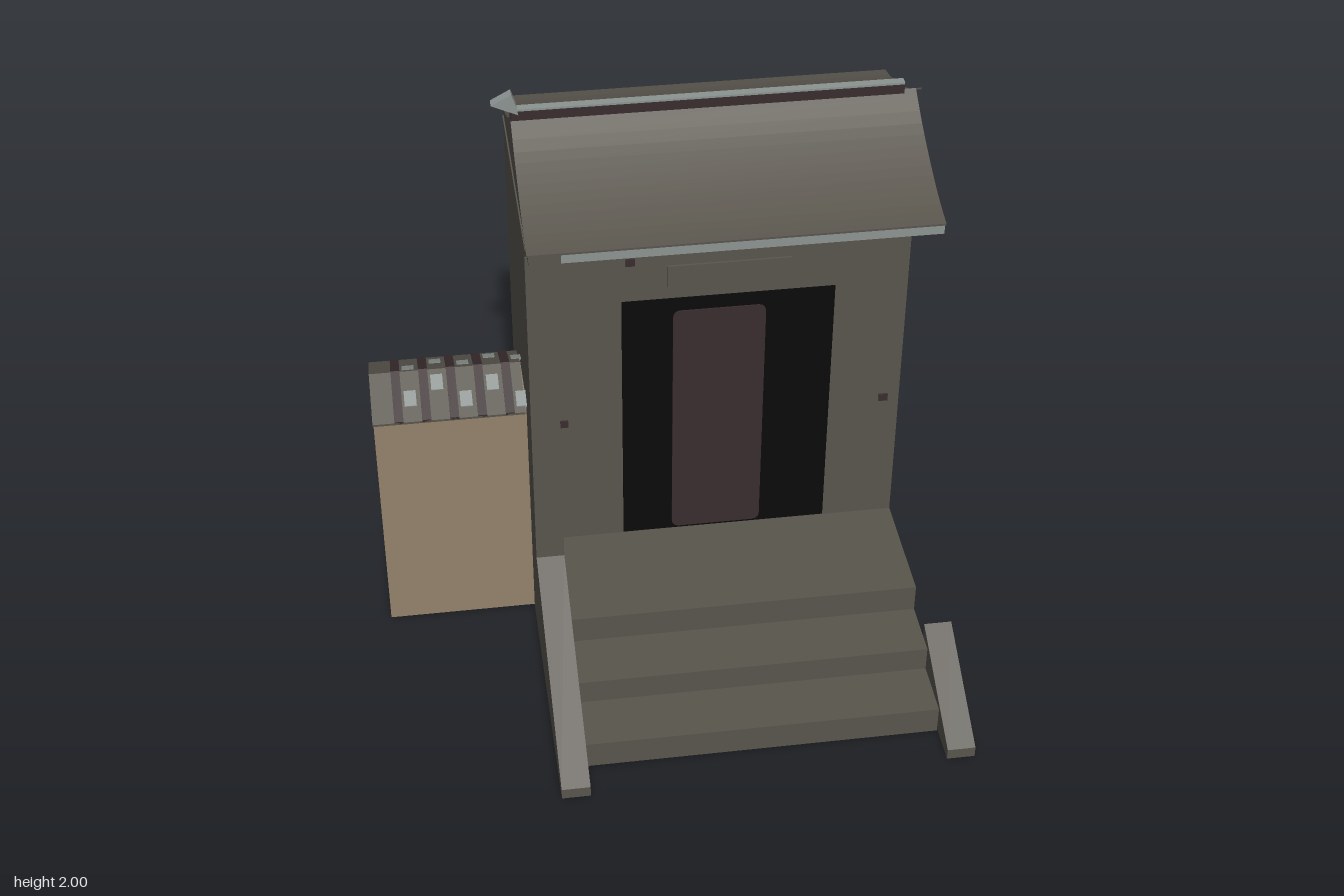
import * as THREE from 'three';

export function createModel() {
  const root = new THREE.Group();
  const mat = (name, color) => {
    const m = new THREE.MeshStandardMaterial({ color, side: THREE.DoubleSide });
    m.name = name;
    return m;
  };
  const stone = mat('stone', 0x59554d);
  const trim = mat('paleTrim', 0x8c9492);
  const plaster = mat('ochrePlaster', 0x93826a);
  const wood = mat('darkWood', 0x392d2e);
  const black = mat('black', 0x0a0a0a);

  const add = (name, geo, material) => {
    const m = new THREE.Mesh(geo, material);
    m.name = name;
    root.add(m);
    return m;
  };
  // box given by its limits
  const box = (name, material, x0, x1, y0, y1, z0, z1) => {
    const g = new THREE.BoxGeometry(x1 - x0, y1 - y0, z1 - z0);
    g.translate((x0 + x1) / 2, (y0 + y1) / 2, (z0 + z1) / 2);
    return add(name, g, material);
  };
  const poly = pts => new THREE.Shape(pts.map(p => new THREE.Vector2(p[0], p[1])));
  // (z, y) outline extruded from x0 to x1
  const alongX = (name, material, pts, x0, x1) => {
    const g = new THREE.ExtrudeGeometry(poly(pts), { depth: x1 - x0, bevelEnabled: false });
    g.rotateY(-Math.PI / 2).translate(x1, 0, 0);
    return add(name, g, material);
  };
  // (x, y) outline extruded from z0 to z1
  const alongZ = (name, material, shape, z0, z1) => {
    const g = new THREE.ExtrudeGeometry(shape, { depth: z1 - z0, bevelEnabled: false });
    g.translate(0, 0, z0);
    return add(name, g, material);
  };

  // gatehouse block with a doorway cut through it
  const wall = poly([[-0.34, 0], [0.845, 0], [0.845, 1.68], [-0.34, 1.68]]);
  wall.holes.push(poly([[-0.11, 0.295], [-0.11, 1.285], [0.6, 1.285], [0.6, 0.295]]));
  alongZ('gatehouse', stone, wall, -0.515, 0.03);

  // side pier, flared under the eaves
  alongX('sidePier', stone, [[-0.515, 0], [0.245, 0], [0.245, 1.64], [0.27, 1.68],
    [-0.54, 1.68], [-0.515, 1.64]], -0.435, -0.34);

  // sloping stair cheeks
  alongX('frontCheekRight', stone, [[0.245, 0], [0.975, 0], [0.975, 0.04], [0.245, 0.4]], -0.435, -0.34);
  alongX('backCheek', stone, [[-0.515, 0], [-0.515, 0.4], [-0.975, 0.175], [-0.975, 0]], -0.435, -0.34);
  alongX('frontCheekLeft', stone, [[0.575, 0], [0.975, 0], [0.975, 0.04], [0.575, 0.235]], 0.848, 0.942);

  // stairs: open zigzag sheets of treads and risers
  const stairs = (name, pts, x0, x1) => {
    const pos = [];
    for (let i = 0; i < pts.length - 1; i++) {
      const [za, ya] = pts[i], [zb, yb] = pts[i + 1];
      pos.push(x0, ya, za, x0, yb, zb, x1, yb, zb, x0, ya, za, x1, yb, zb, x1, ya, za);
    }
    const g = new THREE.BufferGeometry();
    g.setAttribute('position', new THREE.Float32BufferAttribute(pos, 3));
    g.computeVertexNormals();
    add(name, g, stone);
  };
  stairs('frontStairs', [[0.03, 0.29], [0.45, 0.29], [0.45, 0.19], [0.65, 0.19],
    [0.65, 0.1], [0.845, 0.1], [0.845, 0]], -0.34, 0.845);
  // the back run is wound the other way so its treads face up
  stairs('backStairs', [[-0.98, 0.1], [-0.93, 0.1], [-0.93, 0.19], [-0.73, 0.19],
    [-0.73, 0.29], [-0.515, 0.29]], -0.34, 0.825);

  // door slab and the rounded inner leaf on both faces
  box('doorSlab', black, -0.11, 0.6, 0.295, 1.285, -0.1, 0.034);
  const leaf = new THREE.Shape();
  const [l, r, b, t, c] = [0.06, 0.37, 0.305, 1.235, 0.03];
  leaf.moveTo(l + c, b).lineTo(r - c, b).quadraticCurveTo(r, b, r, b + c)
    .lineTo(r, t - c).quadraticCurveTo(r, t, r - c, t)
    .lineTo(l + c, t).quadraticCurveTo(l, t, l, t - c)
    .lineTo(l, b + c).quadraticCurveTo(l, b, l + c, b);
  alongZ('doorLeafFront', wood, leaf, 0.034, 0.039);
  alongZ('doorLeafBack', wood, leaf, -0.105, -0.1);

  // plaques and wall studs
  box('upperPlaque', wood, 0.1, 0.395, 1.475, 1.545, 0.03, 0.038);
  box('lintelPlate', stone, 0.04, 0.45, 1.305, 1.415, 0.03, 0.038);
  for (const [x, y] of [[-0.31, 0.8], [0.79, 0.8], [-0.08, 1.44]])
    box('wallStud', wood, x - 0.015, x + 0.015, y - 0.013, y + 0.013, 0.03, 0.038);

  // main roof: concave slopes either side of the ridge
  const ridgeZ = -0.138;
  const curve = new THREE.SplineCurve([[0, 1.905], [0.1, 1.842], [0.2, 1.792], [0.3, 1.75],
    [0.4, 1.717], [0.478, 1.7]].map(p => new THREE.Vector2(p[0], p[1])));
  const slope = curve.getPoints(14).map(p => [p.x, p.y]);
  const front = slope.map(([d, y]) => [ridgeZ + d, y]);
  const back = slope.map(([d, y]) => [ridgeZ - d, y]);
  const gable = [[ridgeZ - 0.478, 1.67], [ridgeZ + 0.478, 1.67],
    ...[...front].reverse(), ...back.slice(1)];
  alongX('roofCore', trim, gable, -0.33, 0.862);
  alongX('pierGable', stone, gable, -0.43, -0.33);
  const skin = (name, pts, x1) =>
    alongX(name, stone, [...pts, ...[...pts].reverse().map(([z, y]) => [z, y + 0.007])], -0.435, x1);
  skin('frontRoofSlope', front, 0.866);
  skin('backRoofSlope', back, 0.885);
  box('gableTie', wood, 0.862, 0.866, 1.772, 1.782, -0.33, 0.06);

  // ridge beam and upturned finial
  box('ridgeBeam', wood, -0.435, 0.825, 1.905, 1.938, -0.155, -0.121);
  box('ridgeCap', trim, -0.435, 0.825, 1.938, 1.945, -0.15, -0.121);
  alongZ('ridgeFinial', trim, poly([[-0.495, 1.965], [-0.41, 1.925], [-0.415, 1.955], [-0.43, 2]]),
    -0.156, -0.12);

  // plastered side wall with a small tiled coping
  box('sideWall', plaster, -0.945, -0.435, 0.01, 0.93, -0.18, 0.055);
  const mid = -0.065, half = 0.173;
  const coping = (name, material, x0, x1, side, lift, d0 = 0, d1 = 1) => {
    const at = (d, dy) => [mid + side * half * d, 1 - 0.08 * d + dy];
    alongX(name, material, [at(d0, lift - 0.008), at(d1, lift - 0.008), at(d1, lift), at(d0, lift)], x0, x1);
  };
  for (const s of [-1, 1]) {
    coping('copingSlope', stone, -0.947, -0.442, s, 0.004);
    for (let i = 0; i < 5; i++) {
      const x = -0.875 + i * 0.092;
      coping('copingTileJoint', wood, x, x + 0.03, s, 0.008);
      const d = (0.1 + i * 0.37 + (s > 0 ? 0.3 : 0)) % 0.65;
      coping('copingPalePatch', trim, x + 0.038, x + 0.078, s, 0.007, d, d + 0.3);
    }
  }
  return root;
}
